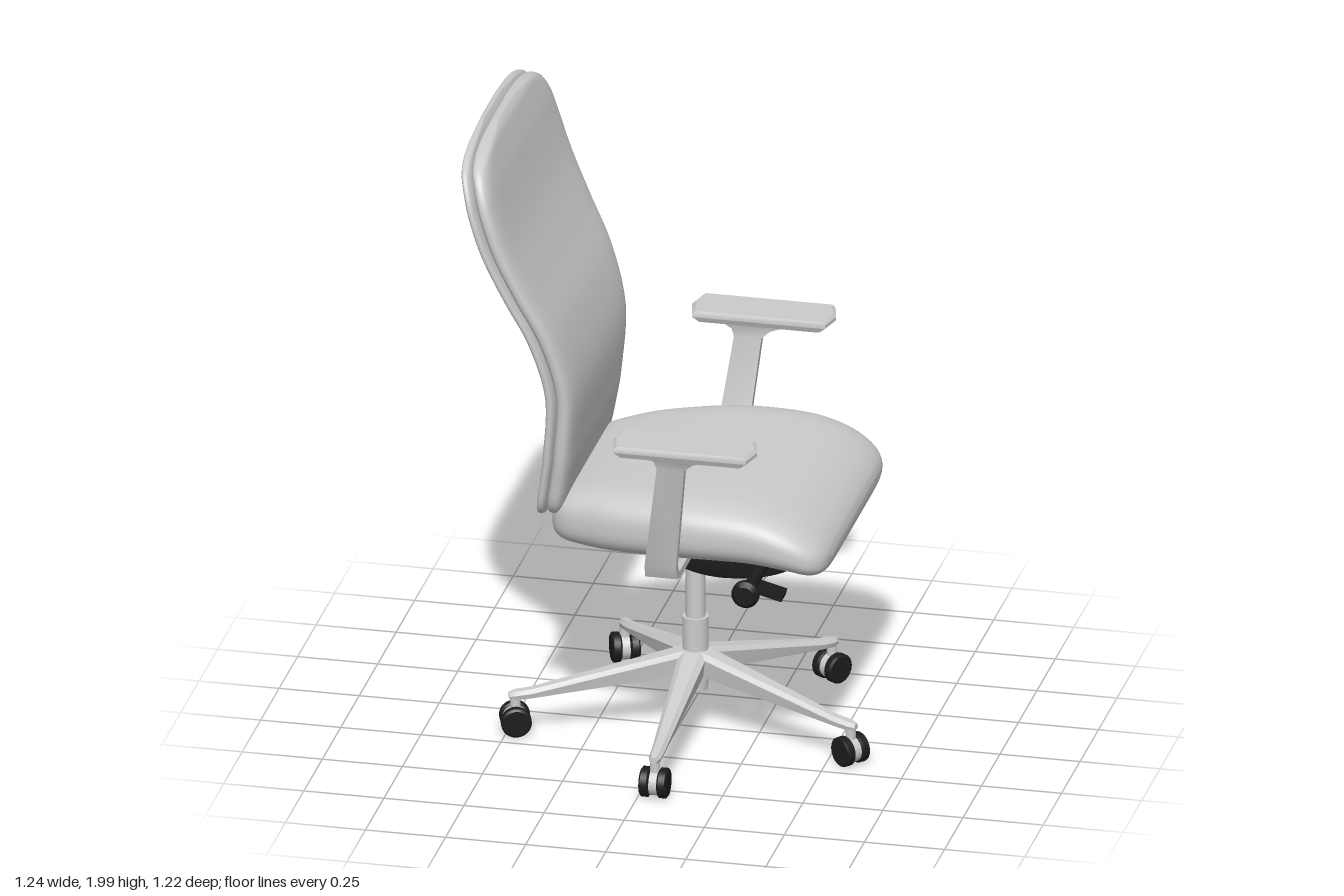
import * as THREE from 'three';
import { toCreasedNormals } from 'three/addons/utils/BufferGeometryUtils.js';

const grey = new THREE.MeshStandardMaterial({ color: 0xcccccc });
const black = new THREE.MeshStandardMaterial({ color: 0x1c1c1c });
const AXIS_X = 0.05; // centre of the column and base

function add(parent, name, geometry, material = grey) {
  const mesh = new THREE.Mesh(geometry, material);
  mesh.name = name;
  parent.add(mesh);
  return mesh;
}

// Skin a list of rings (arrays of [x, y, z]) and cap both ends, facing outwards.
function loft(rings, crease = 0) {
  const n = rings[0].length, pos = rings.flat(2), idx = [];
  for (let r = 0; r < rings.length - 1; r++) {
    for (let i = 0; i < n; i++) {
      const a = r * n + i, b = r * n + (i + 1) % n;
      idx.push(a, b, a + n, b, b + n, a + n);
    }
  }
  const last = (rings.length - 1) * n;
  for (let i = 1; i < n - 1; i++) idx.push(0, i + 1, i, last, last + i, last + i + 1);
  // signed volume tells whether the winding must be reversed
  const v = (i) => new THREE.Vector3(pos[3 * i], pos[3 * i + 1], pos[3 * i + 2]);
  let volume = 0;
  for (let i = 0; i < idx.length; i += 3) volume += v(idx[i]).dot(v(idx[i + 1]).cross(v(idx[i + 2])));
  if (volume < 0) idx.reverse();
  const g = new THREE.BufferGeometry();
  g.setAttribute('position', new THREE.Float32BufferAttribute(pos, 3));
  g.setIndex(idx);
  g.computeVertexNormals();
  return crease ? toCreasedNormals(g, crease) : g;
}

// Smoothly resample a few rows of values.
function smoothRows(rows, steps) {
  const curve = new THREE.CubicInterpolant(rows.map((_, i) => i), rows.flat(), rows[0].length);
  return Array.from({ length: steps + 1 }, (_, i) =>
    Array.from(curve.evaluate((i / steps) * (rows.length - 1))));
}

// Pillow-shaped section: [across, through] pairs.
function pillow(w, h, ew, eh, n = 48) {
  const p = (v, e) => Math.sign(v) * Math.abs(v) ** e;
  return Array.from({ length: n }, (_, i) => {
    const a = ((i + 0.5) / n) * Math.PI * 2;
    return [w * p(Math.cos(a), ew), h * p(Math.sin(a), eh)];
  });
}

function createSeat(chair) {
  // x, top, bottom, half width
  const rows = [
    [-0.345, 0.80, 0.76, 0.18], [-0.335, 0.83, 0.72, 0.27], [-0.30, 0.86, 0.70, 0.325],
    [-0.22, 0.885, 0.695, 0.365], [-0.1, 0.905, 0.70, 0.41], [0.1, 0.92, 0.715, 0.452],
    [0.3, 0.912, 0.722, 0.463], [0.42, 0.88, 0.712, 0.463], [0.5, 0.835, 0.70, 0.445],
    [0.54, 0.795, 0.712, 0.40], [0.553, 0.765, 0.74, 0.32]];
  add(chair, 'seat', loft(smoothRows(rows, 50).map(([x, top, bottom, w]) =>
    pillow(w, (top - bottom) / 2, 0.25, 0.8).map(([z, y]) => [x, (top + bottom) / 2 + y, z]))));
  add(chair, 'seatPlate', new THREE.BoxGeometry(0.5, 0.05, 0.5), black).position.set(0.1, 0.72, 0);
}

function createBackrest(chair) {
  // y, rear x, half width, thickness factor
  const rows = [
    [0.775, -0.385, 0.20, 0.35], [0.79, -0.382, 0.30, 0.7], [0.83, -0.375, 0.355, 0.95],
    [0.92, -0.36, 0.375, 1], [1.02, -0.347, 0.388, 1], [1.21, -0.338, 0.402, 1],
    [1.39, -0.385, 0.425, 1], [1.54, -0.457, 0.449, 1], [1.68, -0.52, 0.465, 1],
    [1.80, -0.56, 0.466, 1], [1.88, -0.582, 0.448, 0.98], [1.94, -0.60, 0.40, 0.9],
    [1.975, -0.607, 0.30, 0.7], [1.995, -0.612, 0.12, 0.35]];
  const layer = (name, offset, half, inset, ew) =>
    add(chair, name, loft(smoothRows(rows, 60).map(([y, x, w, t]) =>
      pillow(w - inset, half * t, ew, 0.8).map(([z, d]) => [x + offset + d, y, z - 0.012]))));
  layer('backShell', 0.018, 0.018, 0, 0.12);
  layer('backCushion', 0.058, 0.032, 0.008, 0.18);

  // J-shaped bar from the mechanism up to the back
  const s = new THREE.Shape();
  s.moveTo(0.1, 0.675);
  s.lineTo(-0.35, 0.675);
  s.quadraticCurveTo(-0.385, 0.68, -0.392, 0.72);
  s.lineTo(-0.405, 0.76);
  s.lineTo(-0.395, 0.82);
  s.lineTo(-0.365, 0.82);
  s.lineTo(-0.38, 0.76);
  s.lineTo(-0.37, 0.72);
  s.quadraticCurveTo(-0.365, 0.698, -0.34, 0.697);
  s.lineTo(0.1, 0.697);
  add(chair, 'backBar', new THREE.ExtrudeGeometry(s, { depth: 0.1, bevelEnabled: false })).position.z = -0.05;
}

function createArm(chair, side) {
  const arm = new THREE.Group();
  arm.name = side > 0 ? 'leftArm' : 'rightArm';
  chair.add(arm);
  // flat strip: x centre, y, z, half width, then half thickness in y and z
  const path = [
    [0.05, 0.69, 0.05, 0.05, 0.012, 0], [0.05, 0.69, 0.425, 0.05, 0.012, 0],
    [0.05, 0.70, 0.458, 0.05, 0.01, -0.01], [0.052, 0.735, 0.473, 0.049, 0, -0.014],
    [0.095, 1.08, 0.523, 0.043, 0, -0.014], [0.105, 1.105, 0.527, 0.06, 0, -0.018],
    [0.12, 1.137, 0.531, 0.12, 0, -0.032]];
  add(arm, 'armPost', loft(path.map(([x, y, z, w, ty, tz]) => [
    [x - w, y - ty, side * (z - tz)], [x + w, y - ty, side * (z - tz)],
    [x + w, y + ty, side * (z + tz)], [x - w, y + ty, side * (z + tz)]]), 0.6));
  // faceted pad with pointed ends
  const hex = [[-0.207, -0.074], [0.207, -0.074], [0.225, 0], [0.207, 0.074], [-0.207, 0.074], [-0.225, 0]];
  add(arm, 'armPad', loft([[1.135, 0.9], [1.152, 1], [1.163, 1], [1.172, 0.95]].map(([y, k]) =>
    hex.map(([x, z]) => [0.14 + x * k, y, side * 0.535 + z * k])), 0.4));
}

function createMechanism(chair) {
  const s = new THREE.Shape();
  s.moveTo(0.05, 0.71);
  s.quadraticCurveTo(0.03, 0.63, -0.025, 0.61);
  s.quadraticCurveTo(0.06, 0.555, 0.17, 0.557);
  s.quadraticCurveTo(0.34, 0.565, 0.40, 0.63);
  s.lineTo(0.44, 0.71);
  const g = new THREE.ExtrudeGeometry(s, {
    depth: 0.2, bevelThickness: 0.018, bevelSize: 0.008, bevelSegments: 3, curveSegments: 12 });
  add(chair, 'mechanism', toCreasedNormals(g, 0.6), black).position.z = -0.1;

  // tension handle with flared knob
  const profile = [[0, 0], [0.02, 0], [0.02, 0.23], [0.024, 0.25], [0.043, 0.3], [0.043, 0.315], [0.03, 0.33], [0, 0.33]];
  const handle = add(chair, 'tensionHandle', toCreasedNormals(
    new THREE.LatheGeometry(profile.map((p) => new THREE.Vector2(...p)), 24), 0.6), black);
  handle.rotation.x = Math.PI / 2;
  handle.position.set(0.3, 0.635, 0.1);
  const lever = add(chair, 'lever', new THREE.BoxGeometry(0.1, 0.022, 0.06), black);
  lever.position.set(0.35, 0.612, 0.31);
  lever.rotation.z = -0.25;
}

function createBase(chair) {
  const base = new THREE.Group();
  base.name = 'base';
  base.position.x = AXIS_X;
  chair.add(base);
  const tube = (name, r1, r2, y0, y1) =>
    add(base, name, new THREE.CylinderGeometry(r1, r2, y1 - y0, 32)).position.y = (y0 + y1) / 2;
  tube('gasColumn', 0.03, 0.03, 0.36, 0.6);
  tube('columnSleeve', 0.04, 0.04, 0.25, 0.37);
  tube('hub', 0.045, 0.038, 0.13, 0.26);

  const twists = [20, 0, 0, 14, 0];
  twists.forEach((twist, i) => {
    const leg = new THREE.Group();
    leg.name = 'leg' + (i + 1);
    leg.rotation.y = -THREE.MathUtils.degToRad(18 + 72 * i);
    base.add(leg);
    // tapering spoke: distance, top, bottom, half width
    const spoke = [[0, 0.272, 0.19, 0.045], [0.05, 0.26, 0.187, 0.043], [0.5, 0.148, 0.12, 0.021],
      [0.55, 0.142, 0.115, 0.02], [0.57, 0.136, 0.118, 0.01]];
    add(leg, 'spoke', loft(spoke.map(([x, t, b, w]) =>
      [[x, b, -w * 0.8], [x, t - 0.012, -w], [x, t, -w * 0.55], [x, t, w * 0.55], [x, t - 0.012, w], [x, b, w * 0.8]]), 0.5));
    add(leg, 'stem', new THREE.CylinderGeometry(0.016, 0.016, 0.06, 16)).position.set(0.55, 0.1, 0);

    // twin-wheel caster
    const caster = new THREE.Group();
    caster.name = 'caster';
    caster.position.set(0.55, 0.048, 0);
    caster.rotation.y = -THREE.MathUtils.degToRad(twist);
    leg.add(caster);
    add(caster, 'casterBody', new THREE.CylinderGeometry(0.04, 0.04, 0.024, 24)).rotation.x = Math.PI / 2;
    const rim = [[0, -0.015], [0.04, -0.015], [0.047, -0.01], [0.047, 0.01], [0.04, 0.015], [0, 0.015]];
    for (const side of [-1, 1]) {
      const wheel = add(caster, 'wheel', toCreasedNormals(
        new THREE.LatheGeometry(rim.map((p) => new THREE.Vector2(...p)), 28), 0.5), black);
      wheel.rotation.x = Math.PI / 2;
      wheel.position.z = side * 0.028;
    }
  });
}

export function createModel() {
  const chair = new THREE.Group();
  chair.name = 'officeChair';
  createSeat(chair);
  createBackrest(chair);
  for (const side of [-1, 1]) createArm(chair, side);
  createMechanism(chair);
  createBase(chair);
  return chair;
}
